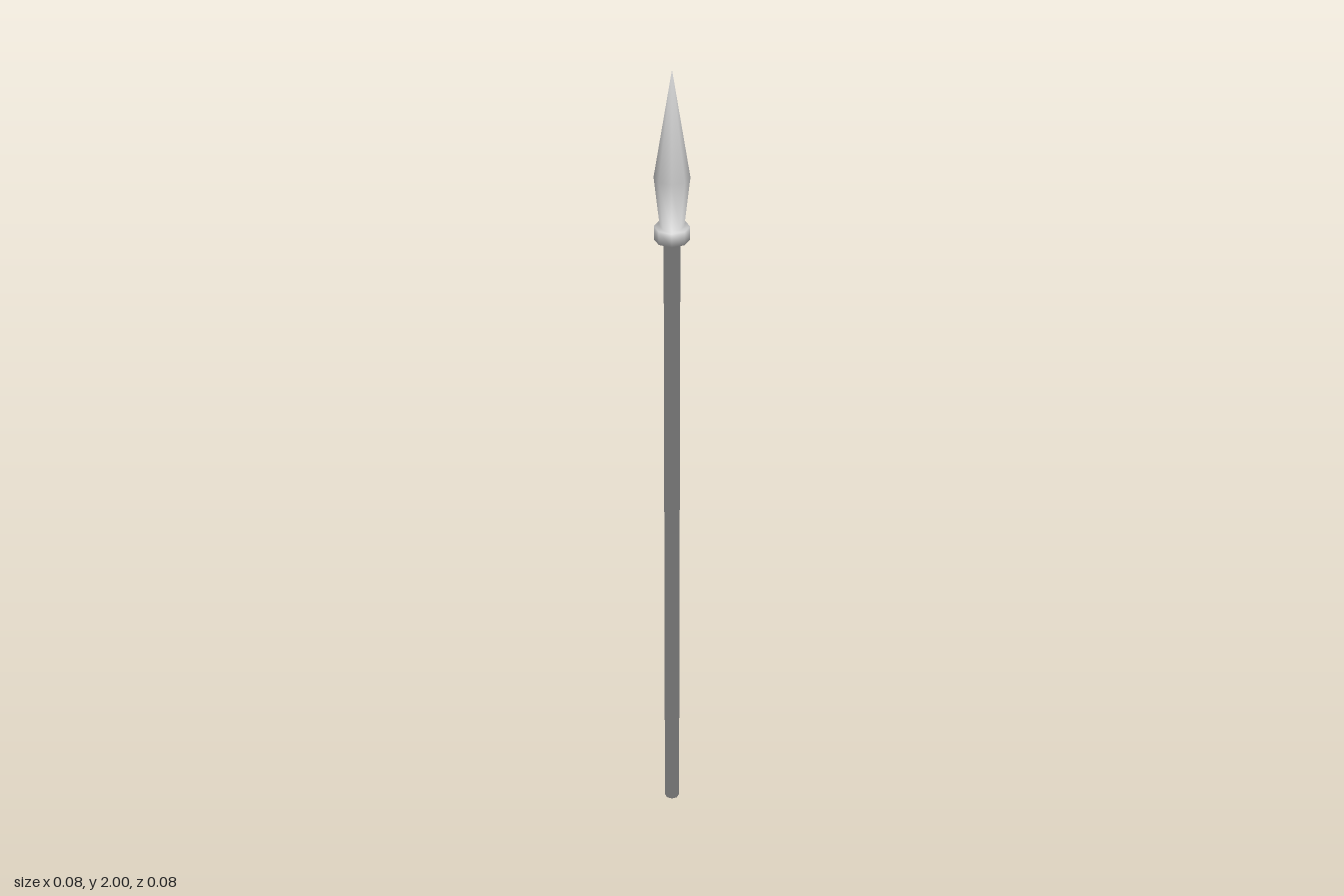
import * as THREE from 'three';

const SIDES = 8;

// Spear outline from butt to tip: [radius, height]
const outline = [
  [0, 0], [0.0185, 0], [0.0185, 1.605],
  [0.04, 1.605], [0.04, 1.637], [0.027, 1.637],
  [0.04, 1.754], [0, 2],
].map(([r, y]) => new THREE.Vector2(r, y));

// Smooth normals: evenly blend the directions of the neighbouring segments
const segmentNormals = outline.slice(1).map((p, i) => {
  const d = p.clone().sub(outline[i]).normalize();
  return new THREE.Vector2(d.y, -d.x);
});
const normals = outline.map((p, i) => {
  if (i === 0) return new THREE.Vector2(0, -1);
  if (i === outline.length - 1) return new THREE.Vector2(0, 1);
  return segmentNormals[i - 1].clone().add(segmentNormals[i]).normalize();
});

// Turn one stretch of the outline into a named part
function turnedPart(name, first, last) {
  const points = outline.slice(first, last + 1);
  const geometry = new THREE.LatheGeometry(points, SIDES);
  const normal = geometry.attributes.normal;
  for (let s = 0; s <= SIDES; s++) {
    const a = (s / SIDES) * Math.PI * 2;
    points.forEach((_, j) => {
      const n = normals[first + j];
      normal.setXYZ(s * points.length + j, n.x * Math.sin(a), n.y, n.x * Math.cos(a));
    });
  }
  const mesh = new THREE.Mesh(geometry, new THREE.MeshStandardMaterial({ color: 0xcccccc }));
  mesh.name = name;
  return mesh;
}

export function createModel() {
  const spear = new THREE.Group();
  spear.name = 'spear';
  spear.add(
    turnedPart('shaft', 0, 2),
    turnedPart('collar', 2, 5),
    turnedPart('spearhead', 5, 7),
  );
  return spear;
}
